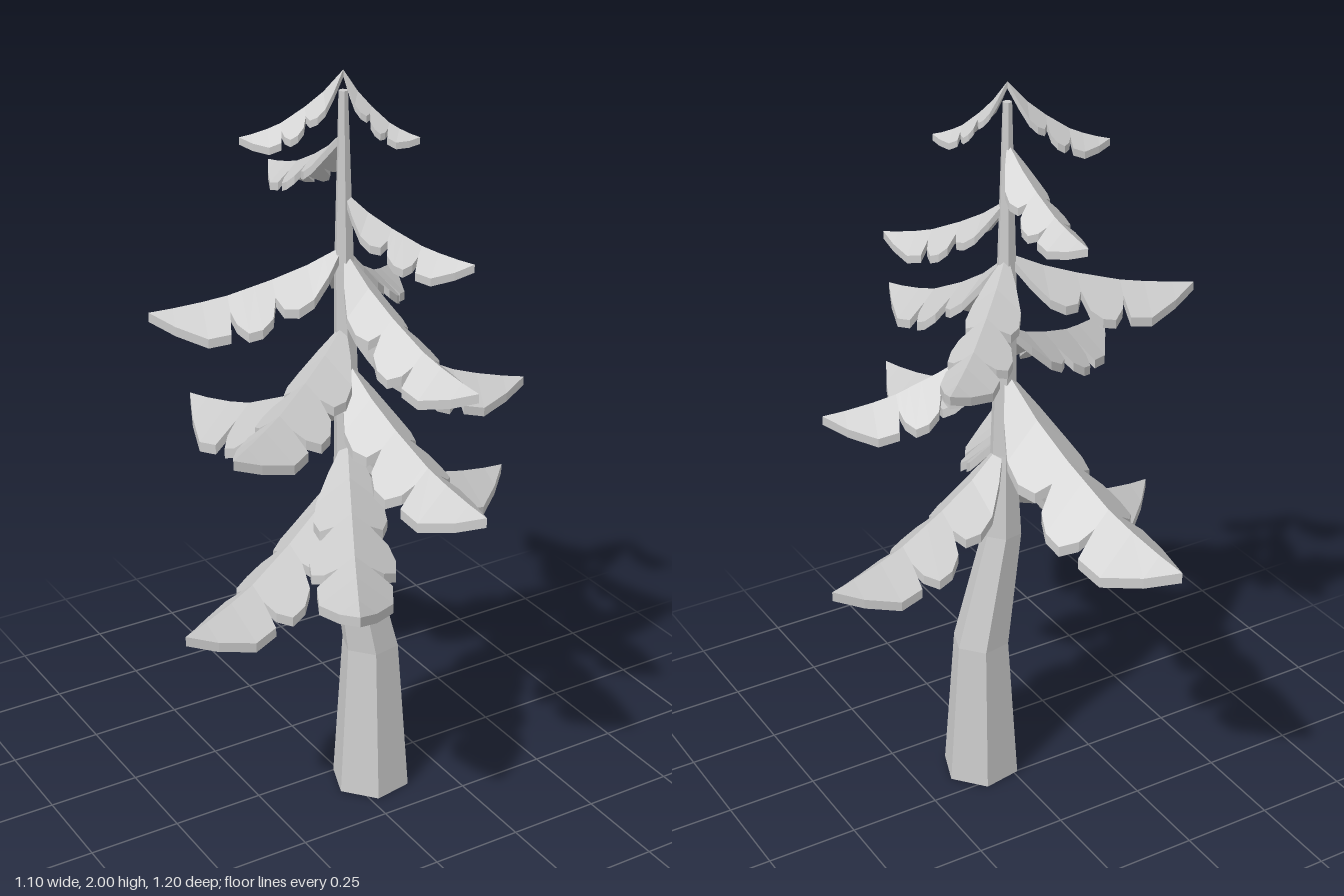
import * as THREE from 'three';

// Trunk stations: y, centre x, centre z, radius
const TRUNK = [
  [0, 0.058, 0.08, 0.108], [0.43, 0.06, 0.07, 0.078], [0.76, 0.0, 0.056, 0.053],
  [1.0, -0.002, 0.053, 0.036], [1.5, -0.008, 0.045, 0.026], [1.95, -0.01, 0.043, 0.012],
];

// Half outline of a branch: distance along it, half width (both per unit length)
const OUTLINE = [
  [0, 0], [0.1, 0.09], [0.19, 0.15], [0.27, 0.165], [0.34, 0.14], [0.37, 0.08],
  [0.4, 0.16], [0.46, 0.19], [0.53, 0.185], [0.58, 0.13], [0.6, 0.07],
  [0.615, 0.165], [0.73, 0.16], [0.88, 0.08], [1, 0],
];

// Sagging ridge line: distance along, share of the total drop
const RIDGE = [[0, 0], [0.19, 0.33], [0.37, 0.56], [0.6, 0.8], [0.8, 0.93], [1, 1]];

// Branches from bottom to top: start height, tip x, y, z
const BRANCHES = [
  [0.97, -0.55, 0.69, 0.19], [1.03, 0.545, 0.79, -0.03], [1.05, -0.27, 0.84, 0.55],
  [1.24, -0.115, 0.94, -0.6], [1.26, 0.05, 1.04, 0.6],
  [1.36, -0.46, 1.19, 0.29], [1.36, 0.445, 1.16, 0.19],
  [1.56, -0.475, 1.43, -0.1], [1.56, 0.31, 1.365, -0.23], [1.55, 0.08, 1.32, 0.51],
  [1.7, 0.19, 1.56, 0.32], [1.85, -0.03, 1.69, -0.29],
  [2.0, -0.24, 1.845, -0.055], [2.0, 0.12, 1.85, 0.18],
];

// Linear lookup in a table of rows keyed by their first column
function sample(table, key, column) {
  let i = 1;
  while (i < table.length - 1 && table[i][0] < key) i++;
  const a = table[i - 1], b = table[i];
  const k = Math.min(1, (key - a[0]) / (b[0] - a[0]));
  return a[column] + (b[column] - a[column]) * k;
}

// Unindexed triangles give flat facets
function facets(triangles) {
  const solid = triangles.filter(t => new THREE.Triangle(...t).getArea() > 1e-9);
  const geometry = new THREE.BufferGeometry().setFromPoints(solid.flat());
  geometry.computeVertexNormals();
  return geometry;
}

function quad(out, a, b, c, d, flip = false) {
  if (flip) out.push([a, c, b], [a, d, c]);
  else out.push([a, b, c], [a, c, d]);
}

// Bent six-sided trunk
function trunkGeometry() {
  const out = [];
  const rings = TRUNK.map(([y, cx, cz, r]) => Array.from({ length: 6 }, (_, i) => {
    const angle = THREE.MathUtils.degToRad(-10 + i * 60);
    return new THREE.Vector3(cx + r * Math.cos(angle), y, cz + r * Math.sin(angle));
  }));
  const last = rings.length - 1;
  for (let i = 0; i < 6; i++) {
    const j = (i + 1) % 6;
    for (let k = 0; k < last; k++) {
      quad(out, rings[k][i], rings[k + 1][i], rings[k + 1][j], rings[k][j]);
    }
    if (i > 0 && i < 5) {
      out.push([rings[0][0], rings[0][i], rings[0][j]]);
      out.push([rings[last][0], rings[last][j], rings[last][i]]);
    }
  }
  return facets(out);
}

// Roof-shaped branch along +x with lobed edges and an even thickness
function branchGeometry(length, drop) {
  const out = [];
  const thickness = 0.012 + 0.025 * length;
  const stations = OUTLINE.map(([t]) => t);
  for (const side of [1, -1]) {
    const point = (t, w, lower) => new THREE.Vector3(
      t * length,
      -drop * sample(RIDGE, t, 1) - 0.85 * w * length - lower,
      side * w * length,
    );
    for (let i = 0; i < stations.length - 1; i++) {
      const [t0, w0] = OUTLINE[i], [t1, w1] = OUTLINE[i + 1];
      const r0 = point(t0, 0, 0), r1 = point(t1, 0, 0);
      const e0 = point(t0, w0, 0), e1 = point(t1, w1, 0);
      const R0 = point(t0, 0, thickness), R1 = point(t1, 0, thickness);
      const E0 = point(t0, w0, thickness), E1 = point(t1, w1, thickness);
      quad(out, r0, e0, e1, r1, side < 0);
      quad(out, R0, R1, E1, E0, side < 0);
      quad(out, e0, E0, E1, e1, side < 0);
    }
  }
  return facets(out);
}

export function createModel() {
  const model = new THREE.Group();
  model.name = 'firTree';
  const grey = new THREE.MeshStandardMaterial({ color: 0xcccccc, flatShading: true });
  grey.name = 'plainGrey';

  const trunk = new THREE.Mesh(trunkGeometry(), grey);
  trunk.name = 'trunk';
  model.add(trunk);

  const branches = new THREE.Group();
  branches.name = 'branches';
  BRANCHES.forEach(([startY, x, y, z], i) => {
    const startX = sample(TRUNK, startY, 1), startZ = sample(TRUNK, startY, 2);
    const dx = x - startX, dz = z - startZ;
    const branch = new THREE.Mesh(branchGeometry(Math.hypot(dx, dz), startY - y), grey);
    branch.name = `branch${i + 1}`;
    branch.position.set(startX, startY, startZ);
    branch.rotation.y = Math.atan2(-dz, dx);
    branches.add(branch);
  });
  model.add(branches);
  return model;
}
